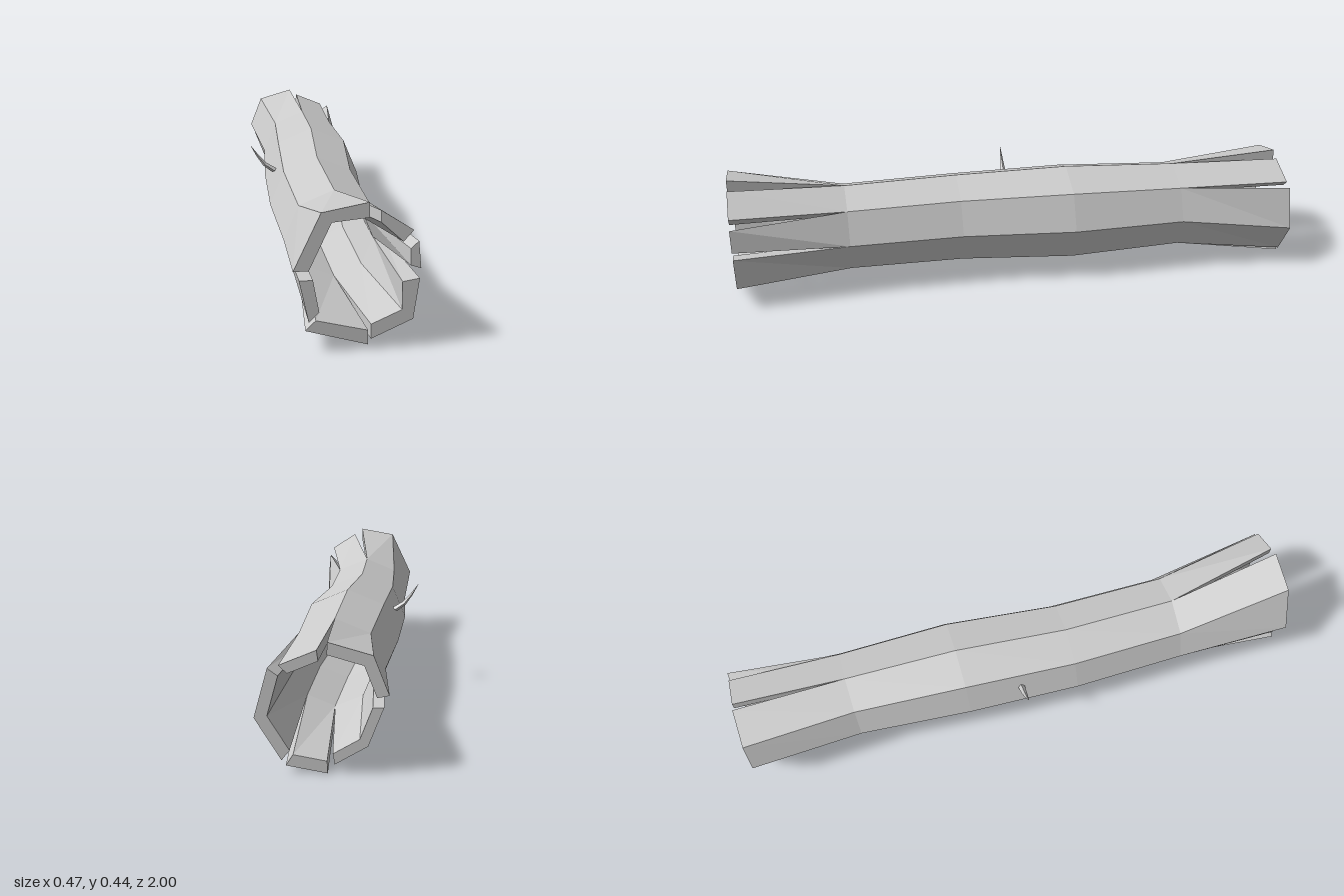
import * as THREE from 'three';

const SIDES = 8;
const bark = new THREE.MeshStandardMaterial({ color: 0xcccccc, flatShading: true, side: THREE.DoubleSide });

// Rings along the trunk: z, centre x, centre y, outer radius, inner radius
const RINGS = [
  [-0.6, 0.03, 0.21, 0.16, 0.125],
  [-0.2, 0.012, 0.21, 0.178, 0.137],
  [0.2, -0.022, 0.21, 0.165, 0.13],
  [0.6, -0.025, 0.21, 0.16, 0.125],
];

const ringPoint = ([z, cx, cy, ro, ri], k, inner) => {
  const a = (k / SIDES) * Math.PI * 2;
  const r = inner ? ri : ro;
  return [cx + r * Math.cos(a), cy + r * Math.sin(a), z];
};

// Joins closed loops of points (ordered along +z) with quads
function loft(loops, quads = []) {
  for (let i = 0; i < loops.length - 1; i++) {
    const n = loops[i].length;
    for (let j = 0; j < n; j++) {
      const k = (j + 1) % n;
      quads.push([loops[i][j], loops[i][k], loops[i + 1][k], loops[i + 1][j]]);
    }
  }
  return quads;
}

function quadMesh(name, quads) {
  const pos = quads.flatMap(([a, b, c, d]) => [a, b, c, a, c, d].flat());
  const geo = new THREE.BufferGeometry();
  geo.setAttribute('position', new THREE.Float32BufferAttribute(pos, 3));
  geo.computeVertexNormals();
  const mesh = new THREE.Mesh(geo, bark);
  mesh.name = name;
  return mesh;
}

// Split strip running from a trunk ring to a splayed end, starting at ring corner `start`
function splitStrip(name, start, outer, inner, zEnd) {
  const ring = zEnd > 0 ? RINGS[RINGS.length - 1] : RINGS[0];
  const n = outer.length;
  const rim = (isInner) => outer.map((_, i) => ringPoint(ring, start + i, isInner));
  const root = [...rim(false), ...rim(true).reverse()];
  const end = [...outer, ...[...inner].reverse()].map(([x, y]) => [x, y, zEnd]);
  const quads = loft(zEnd > 0 ? [root, end] : [end, root]);
  // end grain
  for (let i = 0; i < n - 1; i++) {
    const cap = [end[i], end[i + 1], end[2 * n - 2 - i], end[2 * n - 1 - i]];
    quads.push(zEnd > 0 ? cap : cap.reverse());
  }
  return quadMesh(name, quads);
}

export function createModel() {
  const log = new THREE.Group();
  log.name = 'hollowLog';

  // Hollow trunk: outer bark and inner wall
  const loops = (inner) => RINGS.map((r) => Array.from({ length: SIDES }, (_, k) => ringPoint(r, k, inner)));
  log.add(quadMesh('trunkBark', loft(loops(false))));
  log.add(quadMesh('trunkHollow', loft(loops(true)).map((q) => q.reverse())));

  // Front splits: first corner, outer edge, inner edge
  const frontStrips = [
    [0, [[0.163, 0.243], [0.155, 0.325]], [[0.133, 0.253], [0.132, 0.303]]],
    [1, [[0.14, 0.358], [0.045, 0.42]], [[0.11, 0.325], [0.045, 0.385]]],
    [2, [[0.012, 0.445], [-0.125, 0.42], [-0.205, 0.25]], [[0.012, 0.40], [-0.095, 0.39], [-0.16, 0.25]]],
    [4, [[-0.188, 0.222], [-0.16, 0.095]], [[-0.148, 0.222], [-0.13, 0.125]]],
    [5, [[-0.17, 0.07], [0.012, 0.018]], [[-0.14, 0.10], [0.012, 0.062]]],
    [6, [[0.02, 0.035], [0.143, 0.09], [0.16, 0.213]], [[0.02, 0.08], [0.11, 0.12], [0.11, 0.205]]],
  ];
  frontStrips.forEach(([s, o, i], k) => log.add(splitStrip(`frontSplit${k + 1}`, s, o, i, 1)));

  // Back splits: inner edge is the outer one drawn toward the centre
  const backStrips = [
    [-1, [[0.157, 0.04], [0.235, 0.165], [0.195, 0.31]]],
    [1, [[0.163, 0.319], [0.055, 0.364]]],
    [2, [[0.025, 0.387], [-0.105, 0.35], [-0.15, 0.235]]],
    [4, [[-0.135, 0.2], [-0.09, 0.085], [0.005, 0.03]]],
    [6, [[0.025, 0.003], [0.145, 0.025]]],
  ];
  const inward = ([x, y]) => [0.035 + (x - 0.035) * 0.81, 0.195 + (y - 0.195) * 0.81];
  backStrips.forEach(([s, o], k) => log.add(splitStrip(`backSplit${k + 1}`, s, o, o.map(inward), -1)));

  // Thin curved twig, tapering to a point
  const twigPath = [[-0.15, 0.28, 0.012], [-0.185, 0.304, 0.009], [-0.212, 0.338, 0.005], [-0.235, 0.374, 0.0005]];
  const twigLoops = twigPath.map(([x, y, r]) =>
    [0, 1, 2, 3].map((k) => {
      const a = (k * Math.PI) / 2;
      return [x + 0.6 * r * Math.cos(a), y + 0.6 * r * Math.cos(a), r * Math.sin(a) - 0.004];
    }));
  log.add(quadMesh('twig', loft(twigLoops)));

  return log;
}
